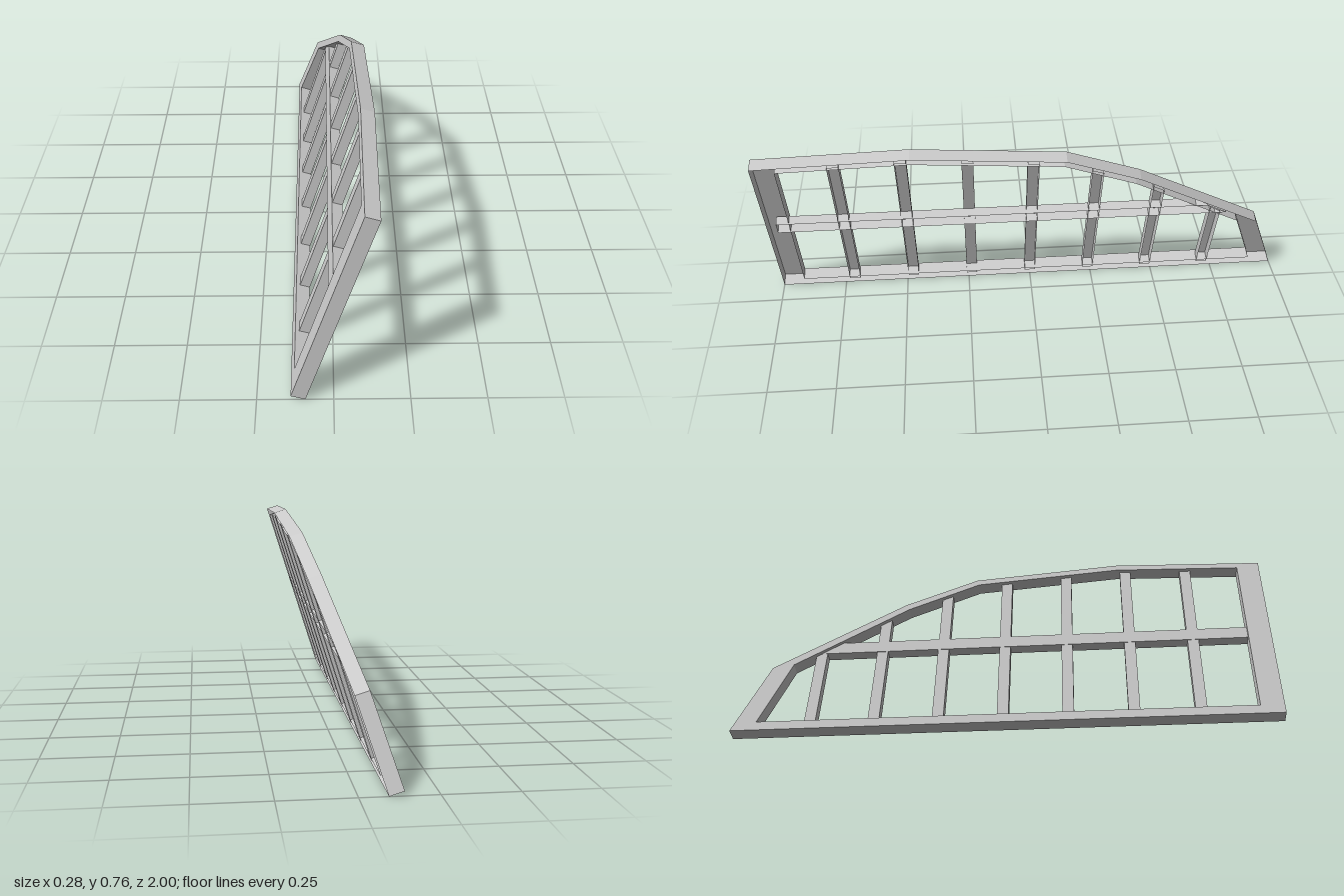
import * as THREE from 'three';

// Outline points are [z, v]: z along the length, v up the leaning plane.
const ARCH = [[1, 0.76], [0.44, 0.781], [-0.12, 0.73], [-0.4, 0.607], [-0.89, 0.298]];
const OUTER = [[1, 0], ...ARCH, [-1, 0]];
const INNER = [[0.915, 0.037], [0.915, 0.738], [0.44, 0.755], [-0.112, 0.705],
  [-0.385, 0.583], [-0.81, 0.311], [-0.907, 0.037]];

// Height of the arch's outer edge at z
function archHeight(z) {
  for (let i = 0; i < ARCH.length - 1; i++) {
    const [z0, v0] = ARCH[i], [z1, v1] = ARCH[i + 1];
    if (z <= z0 && z >= z1) return v0 + (v1 - v0) * (z0 - z) / (z0 - z1);
  }
  return 0;
}

const toVectors = (points) => points.map(([z, v]) => new THREE.Vector2(-z, v));

// A hollow channel: a back plate with side walls, open towards +x
function channelGeometry(points, depth, hole) {
  const shape = new THREE.Shape(toVectors(points));
  if (hole) shape.holes.push(new THREE.Path(toVectors(hole)));
  const solid = new THREE.ExtrudeGeometry(shape, { depth, bevelEnabled: false });
  solid.translate(0, 0, -depth);

  // Keep the back lid and the walls, leave out the front lid
  const corners = solid.attributes.position.array;
  const lids = solid.groups[0].count * 3;
  const kept = [...corners.slice(0, lids / 2), ...corners.slice(lids)];
  const geometry = new THREE.BufferGeometry();
  geometry.setAttribute('position', new THREE.Float32BufferAttribute(kept, 3));
  geometry.computeVertexNormals();
  return geometry;
}

export function createModel() {
  const model = new THREE.Group();
  const panel = new THREE.Group();
  panel.name = 'leaningPanel';
  model.add(panel);
  const material = new THREE.MeshStandardMaterial({
    color: 0xcccccc, flatShading: true, side: THREE.DoubleSide,
  });

  const channel = (name, points, depth, hole) => {
    const mesh = new THREE.Mesh(channelGeometry(points, depth, hole), material);
    mesh.name = name;
    panel.add(mesh);
  };

  // Outer frame with the sloping arch
  channel('frame', OUTER, 0.05, INNER);

  // Horizontal middle rail, its ends reaching into the frame
  channel('middleRail', [[0.963, 0.373], [0.963, 0.425], [-0.675, 0.425], [-0.757, 0.373]], 0.038);

  // Upright battens, cut to follow the arch
  for (let i = -3; i <= 3; i++) {
    const a = i * 0.237 + 0.021, b = i * 0.237 - 0.021;
    channel('batten',
      [[a, 0.026], [a, archHeight(a) - 0.015], [b, archHeight(b) - 0.015], [b, 0.026]], 0.036);
  }

  // Turn the panel along z and lean it towards +x
  panel.rotation.order = 'ZYX';
  panel.rotation.set(0, Math.PI / 2, -0.304);
  panel.position.set(-0.092, 0.001, 0);
  return model;
}
